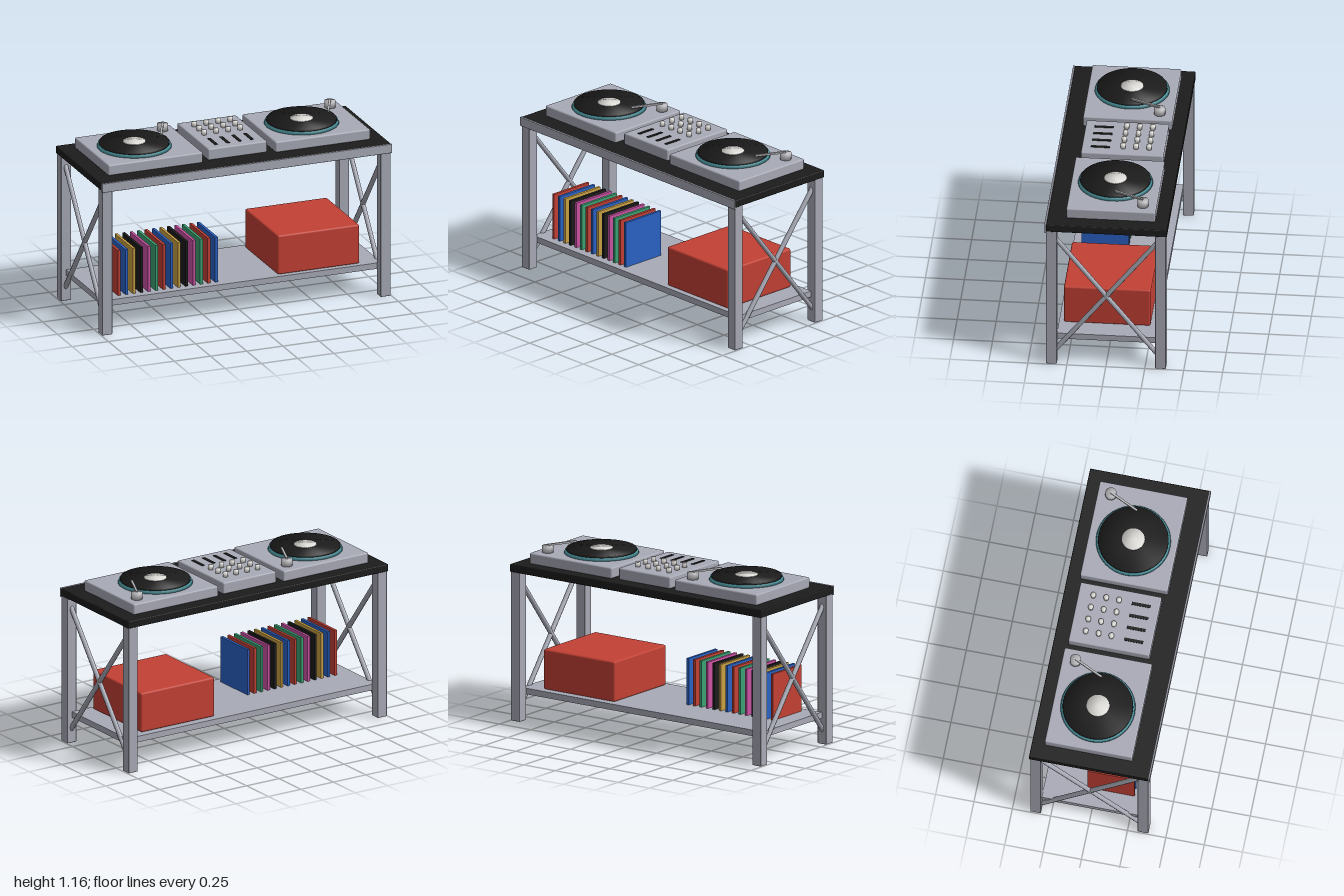
import * as THREE from 'three';
import { RoundedBoxGeometry } from 'three/addons/geometries/RoundedBoxGeometry.js';

const material = (name, color) => {
  const m = new THREE.MeshStandardMaterial({ color });
  m.name = name;
  return m;
};

export function createModel() {
  const grey = material('painted grey', 0xa8aab6);
  const black = material('black', 0x1c1c1c);
  const red = material('red', 0xc24034);
  const blue = material('blue', 0x2a62c4);
  const yellow = material('mustard', 0xcaa143);
  const magenta = material('magenta', 0xcc52a4);
  const green = material('green', 0x3ba273);
  const teal = material('teal', 0x4a929c);
  const white = material('label white', 0xdedcd8);
  const metal = material('light metal', 0xb8b8bc);

  const model = new THREE.Group();
  model.name = 'turntableStand';

  const add = (parent, name, geometry, mat, x = 0, y = 0, z = 0) => {
    const mesh = new THREE.Mesh(geometry, mat);
    mesh.name = name;
    mesh.position.set(x, y, z);
    parent.add(mesh);
    return mesh;
  };

  // Box given by its extents, with softened edges when r > 0
  const box = (parent, name, mat, [x0, x1], [y0, y1], [z0, z1], r = 0) => {
    const size = [x1 - x0, y1 - y0, z1 - z0];
    const geometry = r ? new RoundedBoxGeometry(...size, 2, r) : new THREE.BoxGeometry(...size);
    return add(parent, name, geometry, mat, (x0 + x1) / 2, (y0 + y1) / 2, (z0 + z1) / 2);
  };

  // Upright disc whose shading rolls softly over the rim
  const softDisc = (rTop, rBottom, h, sides = 40) => {
    const g = new THREE.CylinderGeometry(rTop, rBottom, h, sides);
    const p = g.attributes.position;
    const n = new THREE.Vector3();
    for (let i = 0; i < p.count; i++) {
      n.set(p.getX(i) / rBottom, Math.sign(p.getY(i)), p.getZ(i) / rBottom).normalize();
      g.attributes.normal.setXYZ(i, n.x, n.y, n.z);
    }
    return g;
  };

  // Round or square bar between two points
  const bar = (parent, name, mat, a, b, radius, sides) => {
    const from = new THREE.Vector3(...a);
    const dir = new THREE.Vector3(...b).sub(from);
    const mesh = add(parent, name, new THREE.CylinderGeometry(radius, radius, dir.length(), sides), mat);
    mesh.position.copy(from).addScaledVector(dir, 0.5);
    mesh.quaternion.setFromUnitVectors(new THREE.Vector3(0, 1, 0), dir.normalize());
    return mesh;
  };

  // Table frame
  const frame = new THREE.Group();
  frame.name = 'frame';
  model.add(frame);
  box(frame, 'tabletop', black, [-1, 1], [0.982, 1.032], [-0.392, 0.384], 0.006);
  box(frame, 'frontTrim', grey, [-1, 1], [0.973, 1.034], [0.383, 0.395], 0.003);
  box(frame, 'shelf', grey, [-0.96, 0.96], [0.17, 0.21], [-0.317, 0.317]);
  for (const sx of [-1, 1]) {
    for (const sz of [-1, 1]) {
      add(frame, 'leg', new RoundedBoxGeometry(0.07, 0.985, 0.07, 2, 0.005), grey, sx * 0.96, 0.4925, sz * 0.35);
      bar(frame, 'crossBrace', grey, [sx * 0.96, 0.92, sz * 0.33], [sx * 0.96, 0.085, -sz * 0.33], 0.016, 8);
    }
  }

  // Turntables
  for (const cx of [-0.577, 0.577]) {
    const deck = new THREE.Group();
    deck.name = 'turntable';
    deck.position.x = cx;
    model.add(deck);
    box(deck, 'turntableBody', grey, [-0.327, 0.327], [1.032, 1.104], [-0.309, 0.263], 0.01);
    add(deck, 'platter', softDisc(0.233, 0.24, 0.018), teal, -0.033, 1.113, -0.02);
    add(deck, 'vinylDisc', softDisc(0.224, 0.226, 0.012), black, -0.033, 1.128, -0.02);
    add(deck, 'discLabel', softDisc(0.073, 0.074, 0.005, 32), white, -0.033, 1.1365, -0.02);
    add(deck, 'tonearmBase', softDisc(0.036, 0.036, 0.044, 24), metal, 0.245, 1.126, -0.222);
    const start = new THREE.Vector3(0.245, 1.151, -0.222);
    const end = new THREE.Vector3(0.158, 1.151, -0.034);
    const arm = add(deck, 'tonearm', new THREE.BoxGeometry(0.014, 0.012, start.distanceTo(end)), metal);
    arm.position.copy(start).lerp(end, 0.5);
    arm.rotation.y = Math.atan2(end.x - start.x, end.z - start.z);
  }

  // Mixer with knobs and fader slots
  const mixer = new THREE.Group();
  mixer.name = 'mixer';
  model.add(mixer);
  box(mixer, 'mixerBody', grey, [-0.204, 0.204], [1.032, 1.11], [-0.295, 0.235], 0.01);
  for (let i = 0; i < 4; i++) {
    const x = -0.124 + i * 0.0827;
    for (const z of [-0.197, -0.113, -0.03]) {
      add(mixer, 'knob', softDisc(0.017, 0.016, 0.03, 16), white, x, 1.125, z);
    }
    box(mixer, 'faderSlot', black, [x - 0.01, x + 0.01], [1.108, 1.114], [0.054, 0.177]);
  }

  // Row of record sleeves on the shelf
  const sleeves = new THREE.Group();
  sleeves.name = 'recordSleeves';
  model.add(sleeves);
  const sleeveColours = [red, blue, yellow, black, magenta, green];
  for (let i = 0; i < 14; i++) {
    const x = -0.829 + i * 0.0516;
    box(sleeves, 'recordSleeve', sleeveColours[i % 6], [x - 0.009, x + 0.009], [0.21, 0.516], [-0.043, 0.264]);
  }

  // Storage crate
  box(model, 'storageCrate', red, [0.255, 0.821], [0.21, 0.475], [-0.27, 0.286], 0.012);

  return model;
}
